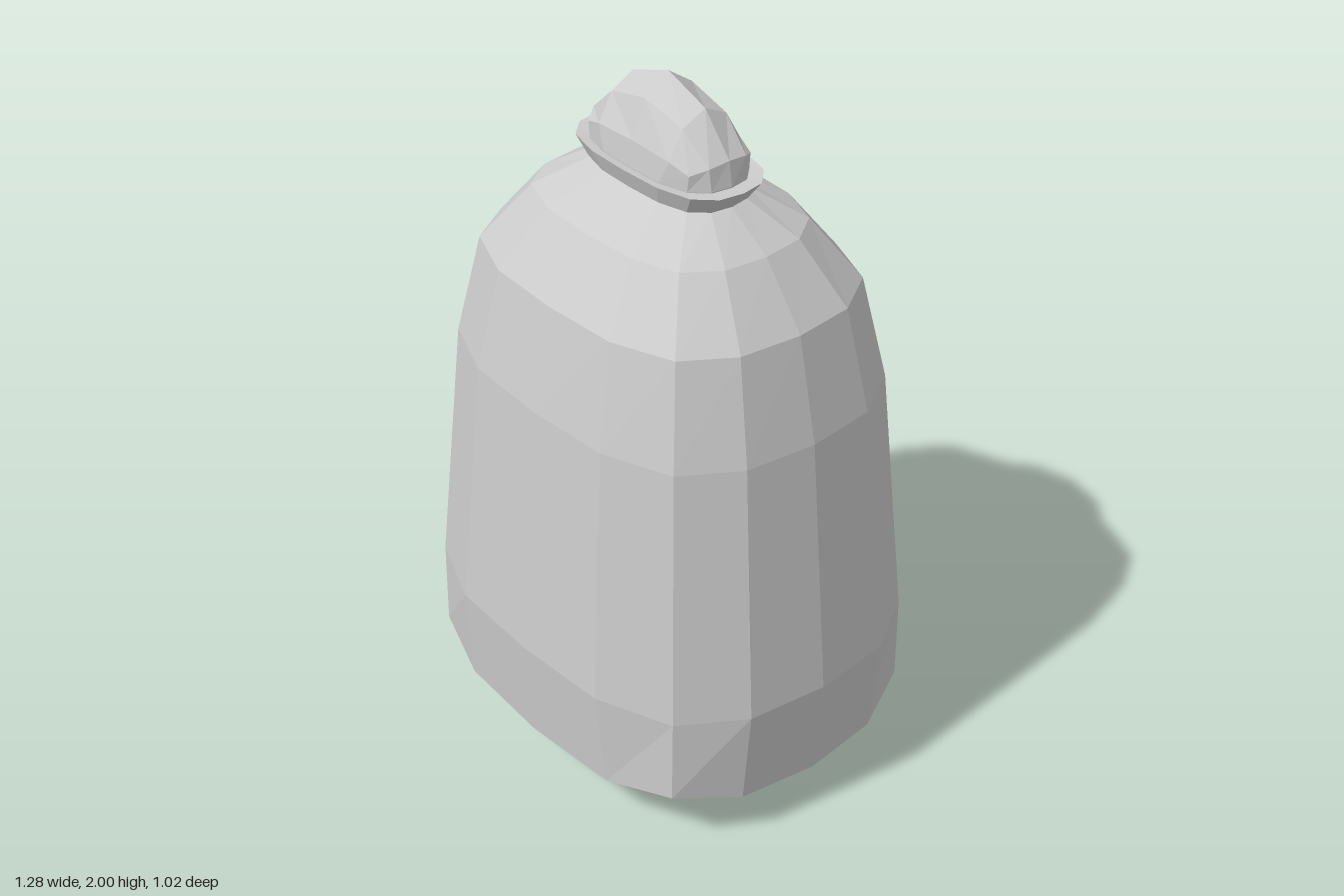
import * as THREE from 'three';

// Quarter grids, indexed [|i|][|j|] with i along x and j along z; entries are x, y, z.
const BASE = [
  [[0, 0, 0], [0, 0.03, 0.27], [0, 0.14, 0.485]],
  [[0.34, 0.03, 0], [0.32, 0.055, 0.26], [0.3, 0.147, 0.47]],
  [[0.61, 0.14, 0], [0.585, 0.147, 0.23], [0.505, 0.19, 0.41]],
];
const KNOB = [
  [[0, 2, 0], [0, 1.948, 0.075], [0, 1.846, 0.118]],
  [[0.14, 1.95, 0], [0.138, 1.915, 0.07], [0.137, 1.838, 0.114]],
  [[0.232, 1.842, 0], [0.226, 1.835, 0.06], [0.197, 1.818, 0.1]],
];
// Rounded-rectangle outline on the same grid, as fractions of the half sizes.
const OUTLINE = [
  [null, null, [0, 1]],
  [null, null, [0.45, 0.97]],
  [[1, 0], [0.96, 0.455], [0.79, 0.8]],
];

// The 16 outer cells of the grid, counter-clockwise seen from above.
const RIM = [];
for (let k = 0; k < 4; k++) RIM.push([2, 2 - k]);
for (let k = 0; k < 4; k++) RIM.push([2 - k, -2]);
for (let k = 0; k < 4; k++) RIM.push([-2, -2 + k]);
for (let k = 0; k < 4; k++) RIM.push([-2 + k, 2]);

const gridPoint = (table, i, j) => {
  const [x, y, z] = table[Math.abs(i)][Math.abs(j)];
  return [x * Math.sign(i), y, z * Math.sign(j)];
};
const rimOf = (table) => RIM.map(([i, j]) => gridPoint(table, i, j));
const ring = (y, halfX, halfZ) => RIM.map(([i, j]) => {
  const [u, v] = OUTLINE[Math.abs(i)][Math.abs(j)];
  return [u * halfX * Math.sign(i), y, v * halfZ * Math.sign(j)];
});

const quad = (out, a, b, c, d) => out.push(...a, ...b, ...c, ...a, ...c, ...d);

// Joins consecutive rings with quads.
function skin(out, rings) {
  for (let r = 0; r < rings.length - 1; r++) {
    for (let k = 0; k < 16; k++) {
      const n = (k + 1) % 16;
      quad(out, rings[r][k], rings[r][n], rings[r + 1][n], rings[r + 1][k]);
    }
  }
}

// Fills a 4 x 4 domed cap.
function cap(out, table, up) {
  for (let i = -2; i < 2; i++) {
    for (let j = -2; j < 2; j++) {
      const corners = [[i, j], [i, j + 1], [i + 1, j + 1], [i + 1, j]]
        .map(([a, b]) => gridPoint(table, a, b));
      if (!up) corners.reverse();
      quad(out, ...corners);
    }
  }
}

function facetedMesh(name, positions, side = THREE.FrontSide) {
  const geometry = new THREE.BufferGeometry();
  geometry.setAttribute('position', new THREE.Float32BufferAttribute(positions, 3));
  geometry.computeVertexNormals();
  const material = new THREE.MeshStandardMaterial({ color: 0xcccccc, flatShading: true, side });
  const mesh = new THREE.Mesh(geometry, material);
  mesh.name = name;
  return mesh;
}

export function createModel() {
  const group = new THREE.Group();
  group.name = 'sack';

  // Bulging body with a rounded bottom, narrowing to the neck
  const body = [];
  cap(body, BASE, false);
  skin(body, [
    rimOf(BASE),
    ring(0.44, 0.64, 0.51),
    ring(1.18, 0.57, 0.45),
    ring(1.47, 0.505, 0.39),
    ring(1.635, 0.375, 0.268),
    ring(1.72, 0.24, 0.125),
  ]);
  group.add(facetedMesh('sackBody', body));

  // Flared tie around the neck
  const collar = [];
  skin(collar, [
    ring(1.72, 0.245, 0.13),
    ring(1.775, 0.287, 0.15),
    ring(1.772, 0.242, 0.128),
  ]);
  group.add(facetedMesh('neckTie', collar, THREE.DoubleSide));

  // Gathered cloth above the tie
  const knob = [];
  skin(knob, [ring(1.72, 0.24, 0.127), ring(1.775, 0.243, 0.127), rimOf(KNOB)]);
  cap(knob, KNOB, true);
  group.add(facetedMesh('gatheredTop', knob));

  return group;
}
